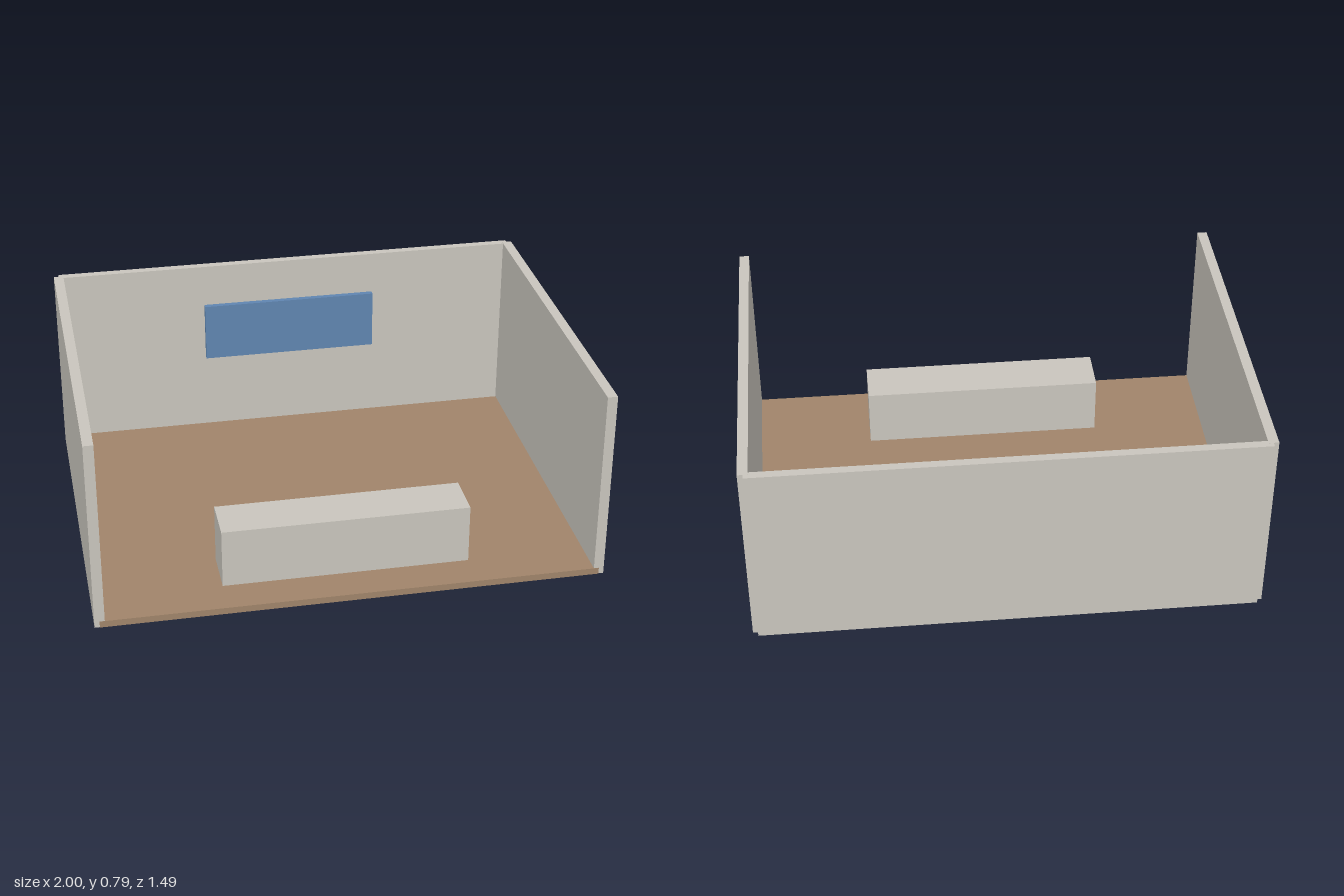
import * as THREE from 'three';

export function createModel() {
  const model = new THREE.Group();
  model.name = 'openRoom';

  const material = (name, color) => {
    const m = new THREE.MeshStandardMaterial({ color });
    m.name = name;
    return m;
  };
  const plaster = material('warmGreyPlaster', 0xc9c5bd);
  const wood = material('brownFloor', 0xa0846a);
  const blue = material('bluePanel', 0x5f85b0);

  // Box given by its minimum and maximum corners
  const box = (name, mat, [x0, y0, z0], [x1, y1, z1]) => {
    const mesh = new THREE.Mesh(new THREE.BoxGeometry(x1 - x0, y1 - y0, z1 - z0), mat);
    mesh.position.set((x0 + x1) / 2, (y0 + y1) / 2, (z0 + z1) / 2);
    mesh.name = name;
    model.add(mesh);
  };

  const height = 0.787;
  const lift = 0.001; // keeps overlapping faces from coinciding with the floor

  // Floor slab, reaching halfway under each wall
  box('floor', wood, [-0.98, 0, -0.726], [0.98, 0.027, 0.744]);

  // Back wall
  box('backWall', plaster, [-0.979, lift, -0.744], [0.979, height, -0.71]);

  // Side walls, overlapping the back wall at the corners
  box('leftWall', plaster, [0.96, lift, -0.725], [1, height + lift, 0.743]);
  box('rightWall', plaster, [-1, lift, -0.725], [-0.96, height + lift, 0.743]);

  // Long counter near the open front
  box('counter', plaster, [-0.49, lift, 0.4], [0.49, 0.27, 0.593]);

  // Blue panel hanging just in front of the back wall
  box('wallPanel', blue, [-0.368, 0.37, -0.691], [0.368, 0.617, -0.668]);

  return model;
}
